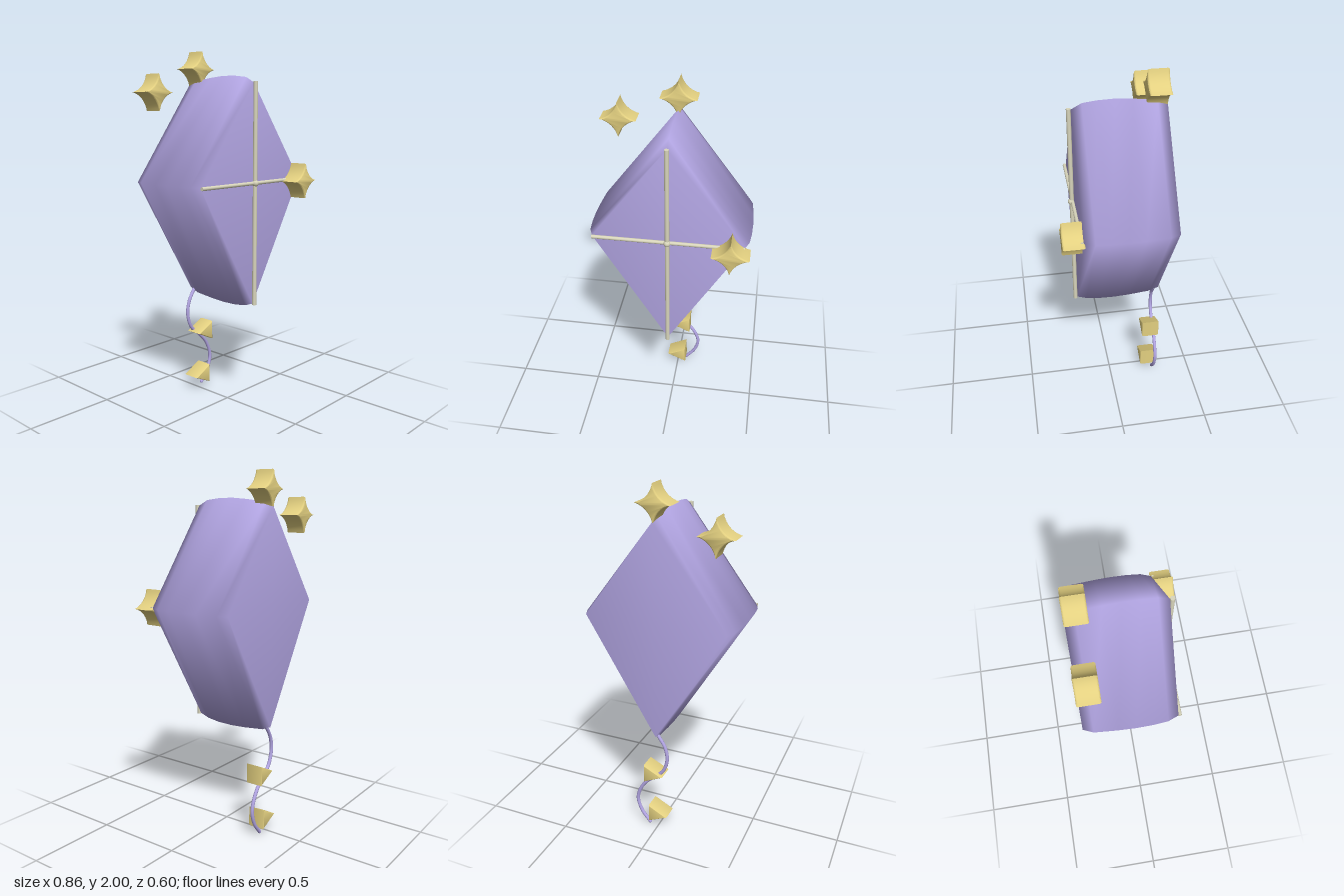
import * as THREE from 'three';
import { toCreasedNormals } from 'three/addons/utils/BufferGeometryUtils.js';

const purple = new THREE.MeshStandardMaterial({ color: 0xb4a7e5 });
const gold = new THREE.MeshStandardMaterial({ color: 0xe3d080 });
const cream = new THREE.MeshStandardMaterial({ color: 0xd9d6bc });

function addMesh(parent, name, geometry, material, x = 0, y = 0, z = 0) {
  const mesh = new THREE.Mesh(geometry, material);
  mesh.name = name;
  mesh.position.set(x, y, z);
  parent.add(mesh);
  return mesh;
}

// Padded diamond: four-cornered rings lofted from back to front, softly shaded
function sailGeometry() {
  // z, half width, top y, bottom y
  const rings = [
    [-0.298, 0.395, 1.815, 0.625],
    [-0.245, 0.418, 1.838, 0.603],
    [-0.12, 0.427, 1.853, 0.59],
    [-0.03, 0.43, 1.86, 0.585],
    [0.06, 0.428, 1.857, 0.587],
    [0.135, 0.421, 1.848, 0.597],
    [0.19, 0.4, 1.818, 0.617],
  ];
  const midY = 1.29, pos = [], index = [];
  for (const [z, w, top, bottom] of rings) {
    pos.push(w, midY, z, 0, top, z, -w, midY, z, 0, bottom, z);
  }
  const last = (rings.length - 1) * 4;
  const backCentre = rings.length * 4, frontCentre = backCentre + 1;
  pos.push(0, midY, rings[0][0], 0, midY, rings[rings.length - 1][0]);
  for (let k = 0; k < 4; k++) {
    const n = (k + 1) % 4;
    for (let i = 0; i < last; i += 4) {
      index.push(i + k, i + n, i + 4 + k, i + n, i + 4 + n, i + 4 + k);
    }
    index.push(backCentre, n, k, frontCentre, last + k, last + n);
  }
  const g = new THREE.BufferGeometry();
  g.setAttribute('position', new THREE.Float32BufferAttribute(pos, 3));
  g.setIndex(index);
  g.computeVertexNormals();
  return g;
}

// Thick cut-out with softened rims, centred in depth
function cutout(shape, depth) {
  const b = 0.01;
  const g = new THREE.ExtrudeGeometry(shape, {
    depth: depth - 2 * b, bevelEnabled: true, bevelThickness: b,
    bevelSize: 0.006, bevelOffset: -0.006, bevelSegments: 3, curveSegments: 10,
  });
  g.translate(0, 0, -depth / 2 + b);
  return toCreasedNormals(g, 0.7);
}

// Four-pointed star with concave sides
function starShape() {
  const r = 0.098, c = 0.02, s = new THREE.Shape();
  s.moveTo(r, 0);
  s.quadraticCurveTo(c, c, 0, r);
  s.quadraticCurveTo(-c, c, -r, 0);
  s.quadraticCurveTo(-c, -c, 0, -r);
  s.quadraticCurveTo(c, -c, r, 0);
  return s;
}

// Triangle pointing to -x
function bowShape() {
  const s = new THREE.Shape();
  s.moveTo(-0.06, 0);
  s.lineTo(0.053, -0.056);
  s.lineTo(0.053, 0.056);
  s.closePath();
  return s;
}

export function createModel() {
  const kite = new THREE.Group();
  kite.name = 'kite';

  addMesh(kite, 'sail', sailGeometry(), purple);

  // Crossed spars and the knot that joins them
  addMesh(kite, 'verticalSpar', new THREE.CylinderGeometry(0.012, 0.012, 1.21, 12), cream, 0, 1.218, 0.202);
  const cross = addMesh(kite, 'horizontalSpar', new THREE.CylinderGeometry(0.01, 0.01, 0.8, 12), cream, 0, 1.288, 0.198);
  cross.rotation.z = Math.PI / 2;
  addMesh(kite, 'sparKnot', new THREE.SphereGeometry(0.018, 12, 8), cream, 0, 1.288, 0.205);

  // Stars: two behind, one on the front
  const star = cutout(starShape(), 0.112);
  [[0, 1.902, -0.243], [-0.323, 1.768, -0.243], [0.332, 1.282, 0.24]].forEach(([x, y, z], i) =>
    addMesh(kite, 'star' + (i + 1), star, gold, x, y, z));

  // Wavy tail
  const path = [
    [0, 0.625], [-0.045, 0.55], [-0.057, 0.47], [-0.03, 0.39], [0.03, 0.335],
    [0.095, 0.265], [0.13, 0.17], [0.108, 0.085], [0.055, 0.015],
  ].map(([x, y]) => new THREE.Vector3(x, y, -0.27));
  const tube = new THREE.TubeGeometry(new THREE.CatmullRomCurve3(path), 64, 0.01, 10);
  addMesh(kite, 'tail', tube, purple);
  const end = path[path.length - 1];
  addMesh(kite, 'tailTip', new THREE.SphereGeometry(0.01, 10, 8), purple, end.x, end.y, end.z);

  // Bows along the tail
  const bow = cutout(bowShape(), 0.102);
  [[0.026, 0.36], [0, 0.09]].forEach(([x, y], i) => {
    const m = addMesh(kite, 'tailBow' + (i + 1), bow, gold, x, y, -0.246);
    if (i === 1) m.rotation.z = 0.02;
  });

  return kite;
}
